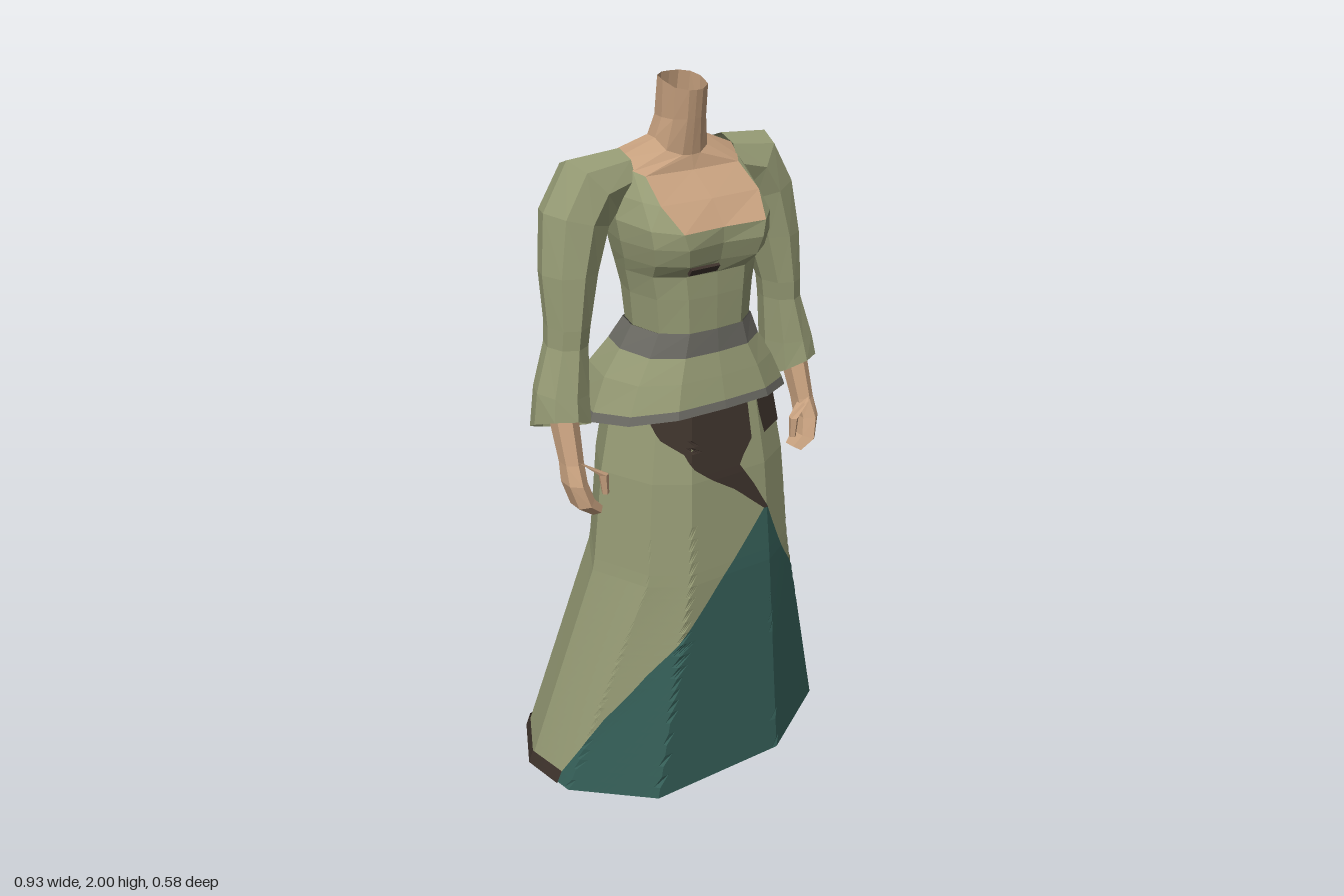
import * as THREE from 'three';

const mat = (name, color) => new THREE.MeshStandardMaterial({ name, color, flatShading: true, side: THREE.DoubleSide });

// Joins rows of points (bottom to top); pick(row, column) chooses the material of each cell
function loft(rows, name, pick, closed = true) {
  const parts = new Map();
  const group = new THREE.Group();
  group.name = name;
  for (let i = 0; i < rows.length - 1; i++) {
    const n = rows[i].length;
    for (let j = 0; j < (closed ? n : n - 1); j++) {
      const m = pick.isMaterial ? pick : pick(i, j);
      if (!parts.has(m)) parts.set(m, []);
      const k = (j + 1) % n;
      const [a, b, c, d] = [rows[i][j], rows[i][k], rows[i + 1][k], rows[i + 1][j]];
      parts.get(m).push(...a, ...b, ...c, ...a, ...c, ...d);
    }
  }
  for (const [m, pos] of parts) {
    const geo = new THREE.BufferGeometry();
    geo.setAttribute('position', new THREE.Float32BufferAttribute(pos, 3));
    geo.computeVertexNormals();
    const mesh = new THREE.Mesh(geo, m);
    mesh.name = `${name} ${m.name}`;
    group.add(mesh);
  }
  return group;
}

// Row collapsed to its centre, used to close an end
const centre = (row) => {
  const c = [0, 1, 2].map((k) => row.reduce((s, p) => s + p[k], 0) / row.length);
  return row.map(() => c);
};

// Twelve-sided body row: half width, widest z, front z, back z, front dip, breast position, cleavage depth
function bodyRow([y, w, zSide, zFront, zBack, dip = 0, breast = 0.5, cleavage = 0]) {
  const xs = [0, breast, 0.88, 1, 0.88, 0.46, 0];
  const reach = [1, 0.96, 0.64, 0, -0.65, -0.96, -1];
  const half = xs.map((x, i) => {
    const r = reach[i], depth = r > 0 ? zFront - zSide : zSide - zBack;
    return [x * w, y - dip * Math.max(r, 0), zSide + r * depth - (i === 0 ? cleavage : 0)];
  });
  return [...half, ...half.slice(1, -1).reverse().map(([x, py, z]) => [-x, py, z])];
}

// Elliptical row with a sideways tilt and a front-to-back slope
function ring([x, y, z, rx, rz, tilt = 0, slope = 0], n = 8) {
  return Array.from({ length: n }, (_, i) => {
    const t = (i / n) * Math.PI * 2, a = (tilt * Math.PI) / 180, s = Math.sin(t) * rx;
    return [x + s * Math.cos(a), y + s * Math.sin(a) + slope * Math.cos(t), z + Math.cos(t) * rz];
  });
}

// Piecewise linear lookup through [key, value] pairs
function lookup(pairs, v) {
  const i = pairs.findIndex(([key]) => v <= key);
  if (i === 0) return pairs[0][1];
  if (i < 0) return pairs[pairs.length - 1][1];
  const [k0, v0] = pairs[i - 1], [k1, v1] = pairs[i];
  return v0 + ((v1 - v0) * (v - k0)) / (k1 - k0);
}

// Skirt outlines run front, model left, back, model right; the upper ones share one shape
const hemOutline = [[0.17, 0.29], [0.43, 0.13], [0.46, -0.04], [0.385, -0.23], [0, -0.29], [-0.385, -0.22], [-0.465, -0.06], [-0.44, 0.11], [-0.25, 0.287]];
const hipShape = [[0.4, 1], [0.77, 0.72], [1, 0], [0.72, -0.84], [0, -1], [-0.72, -0.84], [-1, 0], [-0.77, 0.72], [-0.46, 1]];
const hipOutline = (w, front, back) => hipShape.map(([x, z]) => [x * w, 0.06 + z * (z > 0 ? front - 0.06 : 0.06 - back)]);
const skirtRows = [
  [0.058, hemOutline],
  [0.72, hipOutline(0.305, 0.285, -0.13)],
  [1.0, hipOutline(0.275, 0.265, -0.12)],
  [1.2, hipOutline(0.235, 0.235, -0.1)],
];
function skirtPoint(u, y, lift) {
  const i = Math.floor(u), f = u - i, s = 1 + lift;
  const at = (k, c) => lookup(skirtRows.map(([h, o]) => [h, o[((k % 9) + 9) % 9][c]]), y);
  const [x, z] = [0, 1].map((c) => at(i, c) * (1 - f) + at(i + 1, c) * f);
  return [x * s, y, (z - 0.05) * s + 0.05];
}
// Piece of skirt between two boundary curves, with columns snapped to the skirt's corners
function skirtPatch(name, m, y0, y1, from, to, lift = 0, nr = 24, nc = 54) {
  const rows = Array.from({ length: nr + 1 }, (_, i) => {
    const y = y0 + ((y1 - y0) * i) / nr, a = from(y), step = (to(y) - a) / nc;
    return Array.from({ length: nc + 1 }, (__, j) => {
      const u = a + step * j, corner = Math.round(u);
      const snap = j > 0 && j < nc && Math.abs(u - corner) <= step / 2;
      return skirtPoint(snap ? corner : u, y, lift);
    });
  });
  return loft(rows, name, m, false);
}

export function createModel() {
  const cloth = mat('olive cloth', 0x959a74);
  const teal = mat('teal cloth', 0x355f58);
  const skin = mat('skin', 0xc6a07e);
  const brown = mat('dark brown', 0x3e332c);
  const grey = mat('grey trim', 0x6c6b64);
  const model = new THREE.Group();
  model.name = 'gownedFigure';

  // Skirt with a pointed front panel
  const curve = (...pairs) => (y) => lookup(pairs, y);
  const fixed = (u) => () => u;
  const panelFrom = curve([0.058, -2.35], [0.2, -2.05], [0.3, -1.88], [0.45, -1.45], [0.55, -1], [0.7, -0.62], [0.88, 0]);
  const panelTo = curve([0.058, 2.1], [0.25, 1.95], [0.62, 1], [0.88, 0]);
  model.add(
    skirtPatch('frontPanel', teal, 0.058, 0.88, panelFrom, panelTo),
    skirtPatch('leftSkirt', cloth, 0.058, 0.88, panelTo, fixed(2.25)),
    skirtPatch('backSkirt', cloth, 0.058, 0.88, fixed(2.25), fixed(6.5)),
    skirtPatch('rightSkirt', cloth, 0.058, 0.88, fixed(6.5), (y) => panelFrom(y) + 9),
    skirtPatch('upperSkirt', cloth, 0.88, 1.2, fixed(0), fixed(9), 0, 8, 54),
    skirtPatch('hemTrim', brown, 0.058, 0.1, fixed(2.1), fixed(6.75), 0.012, 2),
    skirtPatch('panelEdge', brown, 0.1, 0.45, panelTo, (y) => panelTo(y) + 0.13, 0.012, 16, 4),
    skirtPatch('frontShade', brown, 1.08, 1.19, curve([1.08, -1.2], [1.12, -1.9], [1.19, -2.3]), fixed(-0.15), 0.016, 6, 24),
    skirtPatch('leftShade', brown, 1.08, 1.19, curve([1.08, 0.15], [1.15, 0]), fixed(1.65), 0.016, 4, 12),
    skirtPatch('backShade', brown, 1.085, 1.17, curve([1.085, 3.6], [1.13, 3.3]), curve([1.085, 4.9], [1.13, 5.3]), 0.016, 4, 12),
    skirtPatch('frontStreak', brown, 0.87, 1.08, curve([0.87, -0.05], [0.95, -0.42], [1, -0.75], [1.08, -1.2]),
      curve([0.87, 0], [0.95, -0.17], [1.02, -0.36], [1.08, -0.15]), 0.016, 10, 6),
  );
  const hem = hemOutline.map(([x, z]) => [x, 0.06, z]);
  model.add(loft([centre(hem), hem], 'skirtBase', teal));

  const body = new THREE.Group();
  body.name = 'body';
  body.position.x = -0.016;
  model.add(body);

  // Bodice, bare chest and open neck
  const torso = [
    [1.39, 0.16, 0.07, 0.213, -0.035],
    [1.48, 0.168, 0.07, 0.214, -0.045],
    [1.54, 0.18, 0.07, 0.212, -0.062],
    [1.575, 0.19, 0.08, 0.245, -0.072, 0, 0.54, 0.02],
    [1.62, 0.2, 0.08, 0.258, -0.08, 0, 0.56, 0.022],
    [1.672, 0.205, 0.07, 0.253, -0.085, 0.012, 0.6, 0.016],
    [1.73, 0.195, 0.05, 0.187, -0.087, 0.01, 0.76],
    [1.805, 0.18, 0.02, 0.108, -0.085, 0.03, 0.78],
    [1.85, 0.07, 0.04, 0.1, -0.03, 0.04, 0.38],
    [1.9, 0.056, 0.05, 0.112, -0.015, 0, 0.36],
    [1.99, 0.056, 0.055, 0.12, 0.003, 0.02, 0.36],
  ].map(bodyRow);
  torso.at(-1).forEach((p) => { p[1] += Math.max(0, 0.055 - p[2]) * 0.19; });
  body.add(loft(torso, 'torso', (i, j) => (i >= 7 || (i >= 5 && (j === 0 || j === 11)) ? skin : cloth)));
  const notch = new THREE.Mesh(new THREE.BoxGeometry(0.085, 0.022, 0.008), brown);
  notch.name = 'bodiceNotch';
  notch.position.set(-0.055, 1.56, 0.231);
  notch.rotation.x = 0.65;
  body.add(notch);

  // Flared peplum with belt and trimmed edge
  const peplum = [
    [1.145, 0.285, 0.055, 0.258, -0.185, -0.04],
    [1.17, 0.276, 0.055, 0.253, -0.172, -0.037],
    [1.26, 0.24, 0.055, 0.238, -0.135, -0.01],
    [1.33, 0.195, 0.06, 0.222, -0.08],
    [1.392, 0.165, 0.07, 0.218, -0.04],
  ].map(bodyRow);
  body.add(loft(peplum, 'peplum', (i) => (i === 0 || i === 3 ? grey : cloth)));

  // Arms and shoes, mirrored
  for (const side of [1, -1]) {
    const limbs = new THREE.Group();
    limbs.name = side > 0 ? 'leftLimbs' : 'rightLimbs';
    limbs.scale.x = side;
    const sleeve = [
      [0.368, 1.155, 0.045, 0.077, 0.093, 14, 0.04], [0.362, 1.25, 0.045, 0.07, 0.08, 5],
      [0.34, 1.37, 0.038, 0.053, 0.068], [0.335, 1.42, 0.038, 0.055, 0.07],
      [0.317, 1.55, 0.02, 0.073, 0.085], [0.285, 1.675, 0.002, 0.088, 0.096, 15],
      [0.24, 1.745, 0.004, 0.095, 0.092, 50], [0.155, 1.765, 0.01, 0.065, 0.075, 90],
    ].map((r) => ring(r));
    const arm = [
      [0.33, 0.945, 0.14, 0.02, 0.033, -30], [0.365, 0.975, 0.14, 0.028, 0.045, -20],
      [0.38, 1.03, 0.127, 0.03, 0.045], [0.377, 1.08, 0.11, 0.03, 0.037], [0.37, 1.27, 0.042, 0.04, 0.05],
    ].map((r) => ring(r, 6));
    const thumb = [
      [0.308, 0.99, 0.16, 0.01, 0.01], [0.312, 1.045, 0.158, 0.014, 0.014], [0.365, 1.08, 0.135, 0.016, 0.02, 40],
    ].map((r) => ring(r, 5));
    const shoe = [
      [0, 0, 0, 0.048, 0.15], [0, 0.025, 0, 0.053, 0.155], [0, 0.045, -0.01, 0.045, 0.135], [0, 0.07, -0.06, 0.035, 0.07],
    ].map((r) => ring(r));
    const shoeMesh = loft([centre(shoe[0]), ...shoe], 'shoe', brown);
    shoeMesh.position.set(0.193, 0, 0.052);
    shoeMesh.rotation.y = 0.17;
    limbs.add(
      loft(sleeve, 'sleeve', cloth),
      loft([centre(arm[0]), ...arm], 'forearmAndHand', skin),
      loft([centre(thumb[0]), ...thumb], 'thumb', skin),
      shoeMesh,
    );
    body.add(limbs);
  }
  return model;
}
